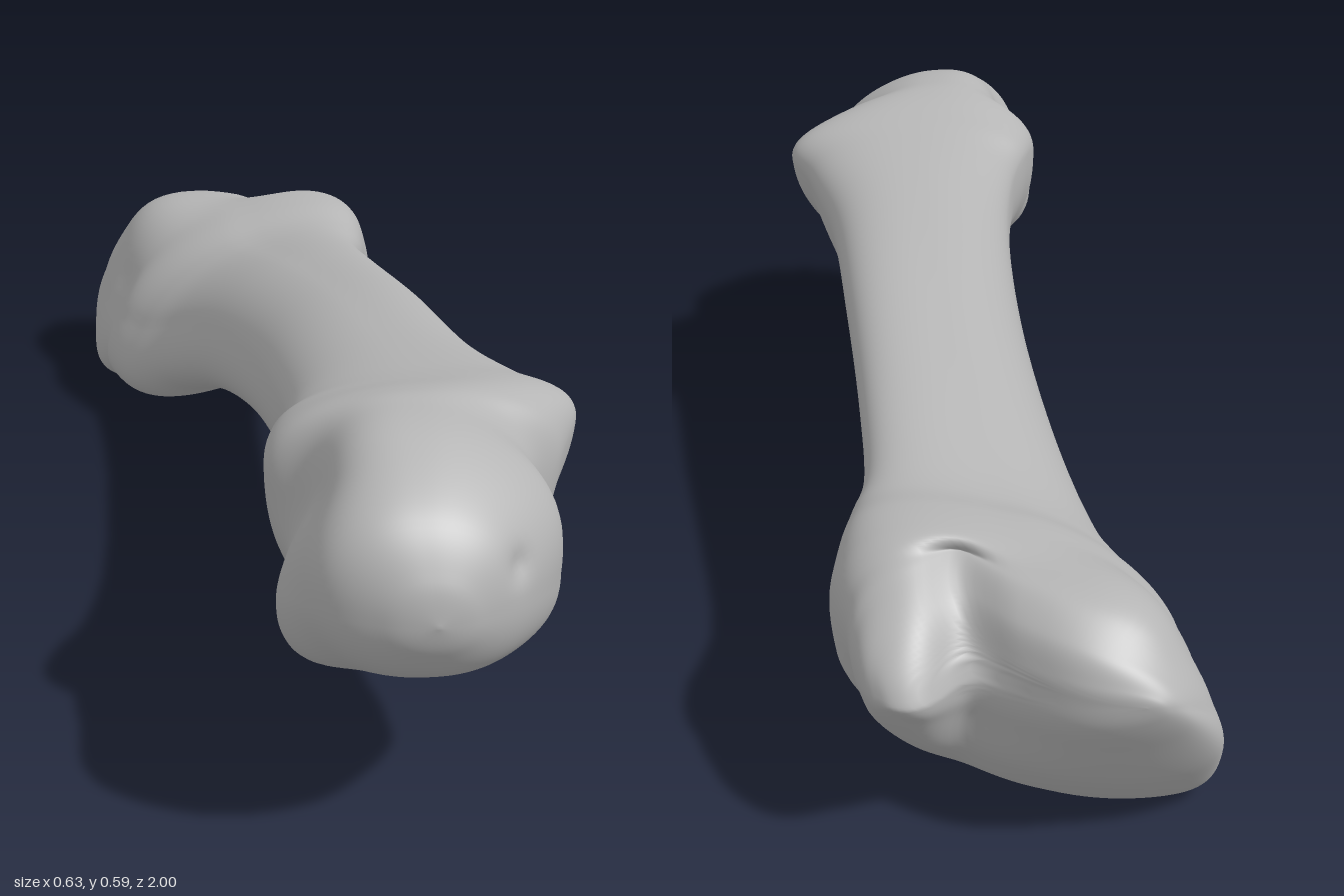
import * as THREE from 'three';
import { mergeVertices } from 'three/addons/utils/BufferGeometryUtils.js';

// Sections along the bone: z, xMin, xMax, yMin, yMax, height of widest point, skew
const SECTIONS = [
  [1.0, 0.02, 0.02, 0.40, 0.40, 0.40, 0],
  [0.985, -0.05, 0.08, 0.35, 0.46, 0.40, -0.1],
  [0.93, -0.13, 0.155, 0.285, 0.535, 0.40, -0.15],
  [0.81, -0.162, 0.228, 0.24, 0.59, 0.37, -0.18],
  [0.71, -0.14, 0.235, 0.217, 0.595, 0.39, -0.15],
  [0.65, -0.162, 0.277, 0.23, 0.587, 0.46, -0.05],
  [0.57, -0.14, 0.315, 0.258, 0.567, 0.485, 0.05],
  [0.48, -0.108, 0.28, 0.262, 0.55, 0.46, 0.12],
  [0.3, -0.09, 0.235, 0.26, 0.525, 0.42, 0.22],
  [0, -0.10, 0.21, 0.24, 0.49, 0.37, 0.38],
  [-0.3, -0.14, 0.19, 0.175, 0.44, 0.31, 0.5],
  [-0.5, -0.20, 0.185, 0.10, 0.405, 0.25, 0.6],
  [-0.6, -0.265, 0.21, 0.043, 0.398, 0.21, 0.6],
  [-0.68, -0.297, 0.24, 0.03, 0.41, 0.20, 0.52],
  [-0.75, -0.295, 0.233, 0.018, 0.412, 0.19, 0.48],
  [-0.83, -0.312, 0.215, 0.004, 0.402, 0.19, 0.48],
  [-0.91, -0.30, 0.205, 0.08, 0.39, 0.21, 0.4],
  [-0.97, -0.25, 0.18, 0.18, 0.35, 0.25, 0.3],
  [-0.995, -0.21, 0.10, 0.23, 0.30, 0.265, 0.1],
  [-1.0, -0.18, -0.18, 0.27, 0.27, 0.27, 0],
];

// Knobs and hollows: x, y, z, radius, outward push
const BUMPS = [
  [-0.12, 0.28, 0.80, 0.08, 0.035],
  [-0.15, 0.52, 0.80, 0.10, -0.045],
  [0.20, 0.46, 0.82, 0.10, 0.022],
  [0.15, 0.22, 0.72, 0.07, 0.01],
  [0.24, 0.42, 0.74, 0.05, -0.02],
  [-0.14, 0.44, 0.73, 0.06, -0.01],
  [0.15, 0.45, 0.94, 0.022, -0.015],
  [0.24, 0.36, 0.57, 0.10, -0.03],
  [-0.17, 0.33, -0.85, 0.09, 0.04],
  [-0.28, 0.24, -0.77, 0.05, -0.01],
  [-0.29, 0.03, -0.80, 0.06, 0.014],
  [0.05, 0.40, -0.88, 0.06, -0.02],
  [0.21, 0.16, -0.70, 0.09, 0.022],
  [0.24, 0.34, -0.68, 0.06, -0.015],
];

const SIDES = 112;
const STEPS = 9;
const rounded = (v) => Math.sign(v) * Math.abs(v) ** 0.88;

// Catmull-Rom blend of all section values
function sectionAt(u) {
  const last = SECTIONS.length - 1;
  const i = Math.min(Math.floor(u), last - 1);
  const t = u - i;
  const at = (k) => SECTIONS[Math.max(0, Math.min(last, k))];
  const [a, b, c, d] = [at(i - 1), at(i), at(i + 1), at(i + 2)];
  return b.map((v, k) => v + 0.5 * t * (c[k] - a[k]
    + t * (2 * a[k] - 5 * v + 4 * c[k] - d[k] + t * (3 * (v - c[k]) + d[k] - a[k]))));
}

function bonePoint(u, angle) {
  const [z, x0, x1, y0, y1, ym, skew] = sectionAt(u);
  const s = rounded(Math.sin(angle + skew));
  const cx = (x0 + x1) / 2;
  const p = new THREE.Vector3(
    cx + ((x1 - x0) / 2) * rounded(Math.cos(angle)),
    ym + (s > 0 ? y1 - ym : ym - y0) * s,
    z,
  );
  // Knobs and hollows pushed away from the bone's axis
  const axisZ = Math.max(-0.75, Math.min(0.75, z));
  const out = p.clone().sub(new THREE.Vector3(cx, (y0 + y1) / 2, axisZ));
  if (out.lengthSq() > 0) out.normalize();
  let push = 0;
  for (const [bx, by, bz, r, h] of BUMPS) {
    const d2 = (p.x - bx) ** 2 + (p.y - by) ** 2 + (p.z - bz) ** 2;
    push += h * Math.exp(-d2 / (r * r));
  }
  p.addScaledVector(out, push);
  // Groove between the two lobes of the base, with the left lobe shorter and sloped at the top
  const w = THREE.MathUtils.smoothstep(-z, 0.74, 0.97);
  const depth = 0.05 + 0.04 * THREE.MathUtils.smoothstep(p.y, 0.1, 0.3);
  const groove = depth * Math.exp(-(((p.x - 0.04) / (p.x < 0.04 ? 0.1 : 0.05)) ** 2));
  const leftLobe = THREE.MathUtils.smoothstep(p.x, -0.02, 0.1);
  p.z += w * (groove + leftLobe * (0.025 + 0.6 * Math.max(0, p.y - 0.25)));
  return p;
}

function boneGeometry() {
  const rings = (SECTIONS.length - 1) * STEPS;
  const positions = [];
  const index = [];
  for (let i = 0; i <= rings; i++) {
    for (let j = 0; j < SIDES; j++) {
      positions.push(...bonePoint(i / STEPS, (j / SIDES) * Math.PI * 2).toArray());
      if (i === rings) continue;
      const a = i * SIDES + j;
      const b = i * SIDES + ((j + 1) % SIDES);
      if (i < rings - 1) index.push(a, a + SIDES, b + SIDES);
      else index.push(a, a + SIDES, b);
      if (i > 0 && i < rings - 1) index.push(a, b + SIDES, b);
    }
  }
  const geometry = new THREE.BufferGeometry();
  geometry.setAttribute('position', new THREE.Float32BufferAttribute(positions, 3));
  geometry.setIndex(index);
  const welded = mergeVertices(geometry, 1e-5);
  welded.computeVertexNormals();
  return welded;
}

export function createModel() {
  const group = new THREE.Group();
  group.name = 'longBone';
  const grey = new THREE.MeshStandardMaterial({ color: 0xb4b4b4 });
  grey.name = 'bone grey';
  const bone = new THREE.Mesh(boneGeometry(), grey);
  bone.name = 'bone';
  group.add(bone);
  return group;
}
